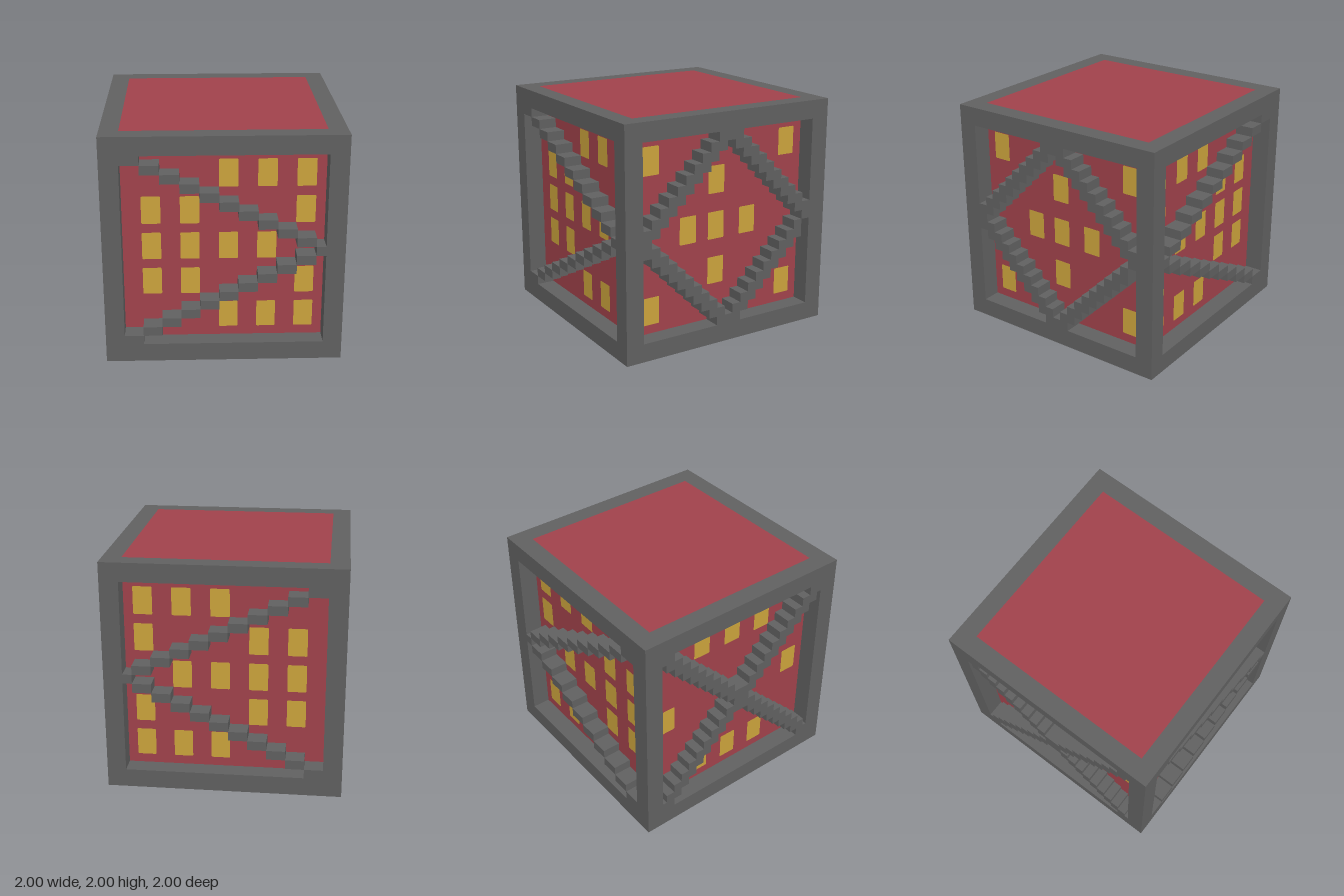
import * as THREE from 'three';

export function createModel() {
  const mat = (name, color) => Object.assign(new THREE.MeshStandardMaterial({ color }), { name });
  const steel = mat('grey steel', 0x606060);
  const red = mat('brick red', 0xa0424b);
  const yellow = mat('window yellow', 0xcba33c);

  const IN = 0.84, BAR = 0.16, STEP = 0.08;
  const model = new THREE.Group();
  model.name = 'framedCube';

  const box = (parent, name, material, size, pos) => {
    const mesh = new THREE.Mesh(new THREE.BoxGeometry(...size), material);
    mesh.name = name;
    mesh.position.set(...pos);
    parent.add(mesh);
  };

  // red core, flush with the frame at top and bottom
  box(model, 'core', red, [2 * IN, 2, 2 * IN], [0, 1, 0]);

  // frame: corner posts and the beams between them
  for (const a of [-0.92, 0.92]) {
    for (const b of [-0.92, 0.92]) {
      box(model, 'cornerPost', steel, [BAR, 2, BAR], [a, 1, b]);
      box(model, 'beamAlongX', steel, [2 * IN, BAR, BAR], [0, 1 + a, b]);
      box(model, 'beamAlongZ', steel, [BAR, BAR, 2 * IN], [a, 1 + b, 0]);
    }
  }

  // pane outline with slightly rounded corners
  const w = 0.08, h = 0.12, r = 0.01;
  const pane = new THREE.Shape();
  pane.absarc(w - r, h - r, r, 0, Math.PI / 2);
  pane.absarc(-w + r, h - r, r, Math.PI / 2, Math.PI);
  pane.absarc(-w + r, -h + r, r, Math.PI, Math.PI * 1.5);
  pane.absarc(w - r, -h + r, r, Math.PI * 1.5, Math.PI * 2);
  const paneGeo = new THREE.ShapeGeometry(pane, 3);

  // one side of the cube: local x runs right, local z points outwards
  const side = (name, angle) => {
    const g = new THREE.Group();
    g.name = name;
    g.rotation.y = angle;
    model.add(g);
    return g;
  };
  const windows = (g, list) => {
    for (const [x, y] of list) {
      const m = new THREE.Mesh(paneGeo, yellow);
      m.name = 'window';
      m.position.set(x, y, IN + 0.005);
      g.add(m);
    }
  };
  // stepped brace block spanning x0..x1, trimmed to the opening
  const block = (g, x0, x1, y, max = IN) => {
    const a = Math.max(x0, -IN), b = Math.min(x1, max);
    box(g, 'braceBlock', steel, [b - a, STEP, BAR], [(a + b) / 2, y, 0.92]);
  };

  // front and back: two shallow braces meeting at the +x edge
  for (const [name, angle, s] of [['frontSide', 0, 1], ['backSide', Math.PI, -1]]) {
    const g = side(name, angle);
    for (let k = 0; k <= 10; k++) {
      const x = -IN + 0.16 * k, end = Math.min(x + 0.16, IN);
      const [x0, x1] = s > 0 ? [x, end] : [-end, -x];
      block(g, x0, x1, 1.8 - STEP * k);
      if (k < 10) block(g, x0, x1, 0.2 + STEP * k);
    }
    const list = [[-0.6, 1], [-0.28, 1], [0.04, 1], [0.36, 1]];
    for (const d of [-1, 1]) {
      for (const x of [0.04, 0.36, 0.68]) list.push([x, 1 + 0.64 * d]);
      for (const x of [-0.6, -0.28, 0.68]) list.push([x, 1 + 0.32 * d]);
    }
    windows(g, list.map(([x, y]) => [x * s, y]));
  }

  // +x side: diamond of stepped braces
  const diamond = side('diamondSide', Math.PI / 2);
  for (let k = 0; k <= 10; k++) {
    const a = -0.04 + STEP * k, b = a + 0.16;
    for (const d of k < 10 ? [-1, 1] : [1]) {
      const y = 1 + d * (0.8 - STEP * k);
      block(diamond, a, b, y, d < 0 && k === 9 ? 0.76 : IN);
      block(diamond, -b, -a, y);
    }
  }
  windows(diamond, [
    [-0.68, 1.64], [0.68, 1.64], [-0.68, 0.36], [0.68, 0.36],
    [-0.04, 1.4], [-0.04, 0.6], [-0.32, 1], [-0.04, 1], [0.32, 1],
  ].map(([x, y]) => [x === 0.32 ? 0.28 : x, y]));

  // -x side: crossed stepped braces
  const cross = side('crossSide', -Math.PI / 2);
  for (let k = 0; k <= 20; k++) {
    const a = -0.88 + STEP * k, y = 1.8 - STEP * k;
    block(cross, a, a + 0.16, y);
    if (k !== 10) block(cross, -a - 0.16, -a, y);
  }
  const crossList = [[-0.68, 1], [0.68, 1]];
  for (const y of [0.36, 1.64]) for (const x of [-0.32, 0, 0.32]) crossList.push([x, y]);
  windows(cross, crossList);

  return model;
}
